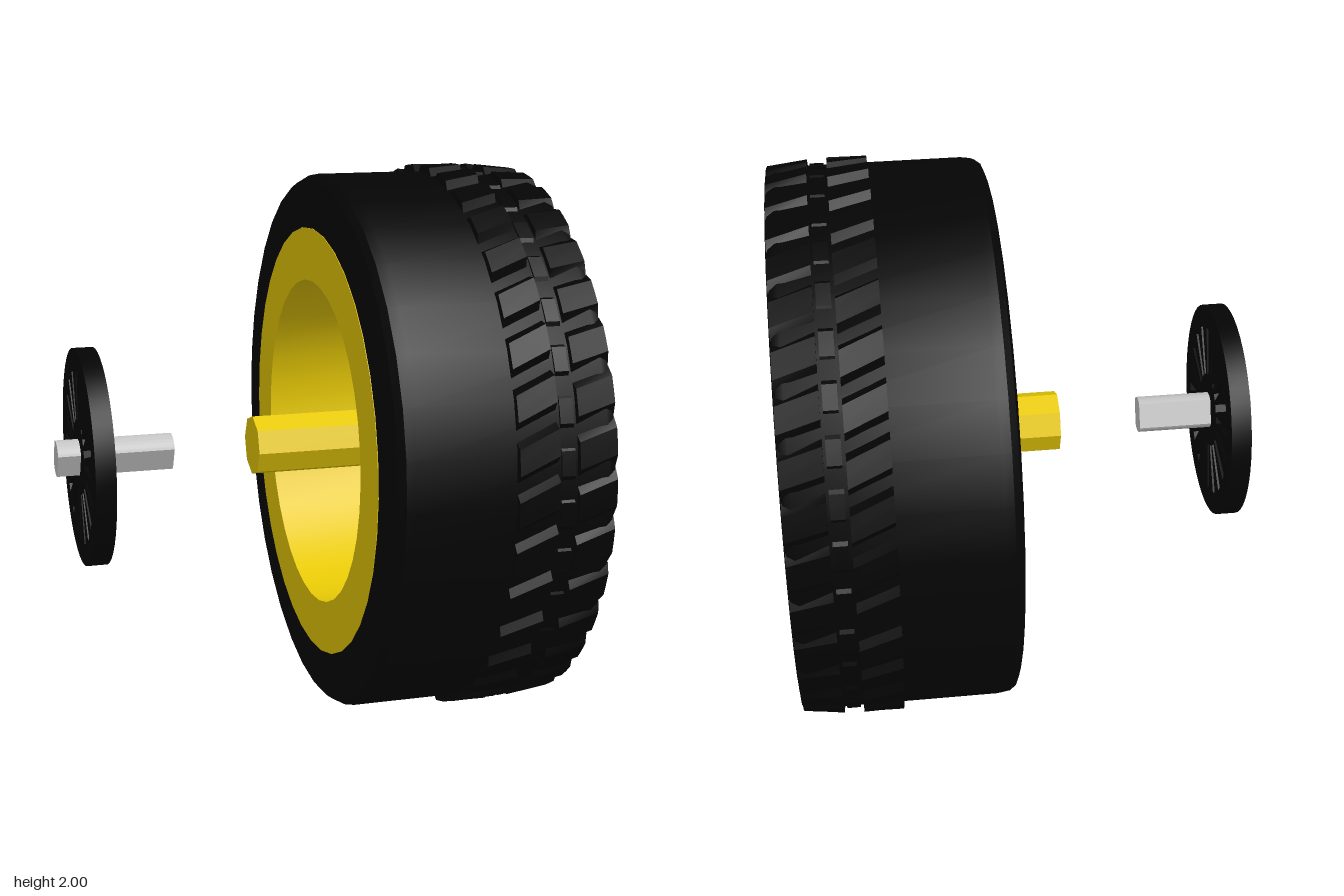
import * as THREE from 'three';
import { mergeGeometries, toCreasedNormals } from 'three/addons/utils/BufferGeometryUtils.js';

const mat = (name, color) => {
  const m = new THREE.MeshStandardMaterial({ color });
  m.name = name;
  return m;
};

export function createModel() {
  const rubber = mat('black rubber', 0x040404);
  const plastic = mat('yellow plastic', 0xe8ca06);
  const metal = mat('grey metal', 0xc4c4c4);

  const root = new THREE.Group();
  root.name = 'wheelAndEncoder';
  const wheel = new THREE.Group();
  wheel.name = 'wheel';
  const encoder = new THREE.Group();
  encoder.name = 'encoder';
  root.add(wheel, encoder);
  wheel.position.y = encoder.position.y = 1; // every part turns about this axle line

  const add = (parent, name, geometry, material) => {
    const mesh = new THREE.Mesh(geometry, material);
    mesh.name = name;
    parent.add(mesh);
    return mesh;
  };

  // Profile of [radius, x] pairs turned about the x axis
  const turned = (profile, segments, start = 0) => {
    const pts = profile.map(([r, x]) => new THREE.Vector2(r, x));
    const g = new THREE.LatheGeometry(pts, segments, start);
    g.rotateZ(-Math.PI / 2);
    return toCreasedNormals(g, 0.42);
  };

  // Flat shape pushed along x from x0 to x1
  const plate = (shape, x0, x1, curveSegments = 12) => {
    const g = new THREE.ExtrudeGeometry(shape, { depth: x1 - x0, bevelEnabled: false, curveSegments });
    g.rotateY(Math.PI / 2);
    g.translate(x0, 0, 0);
    return g;
  };
  const polar = (r, a) => new THREE.Vector2(r * Math.cos(a), r * Math.sin(a));

  // Tyre carcass
  add(wheel, 'tyre', turned([
    [0.785, 0.092], [0.925, 0.092], [0.955, 0.102], [0.972, 0.125], [0.977, 0.16],
    [0.977, 0.82], [0.968, 0.845], [0.955, 0.853], [0.785, 0.853], [0.785, 0.092],
  ], 36), rubber);

  // Tread block: a box bent round the tyre, skewed along it, with sloping ends
  const treadBlock = (angle, x0, x1, top0, top1, arc, skew) => {
    const g = new THREE.BoxGeometry(1, 1, 1, 1, 1, 2);
    const p = g.attributes.position;
    for (let i = 0; i < p.count; i++) {
      const u = p.getX(i) + 0.5;
      const upper = p.getY(i) > 0;
      const r = upper ? top0 + (top1 - top0) * u : 0.96;
      const t = angle + p.getZ(i) * arc * (upper ? 0.65 : 1.2) + (u - 0.5) * skew;
      p.setXYZ(i, x0 + (x1 - x0) * u, r * Math.cos(t), r * Math.sin(t));
    }
    g.computeVertexNormals();
    return g;
  };
  const blocks = 36;
  const pitch = (Math.PI * 2) / blocks;
  const tread = (name, offset, ...args) => {
    const list = [];
    for (let i = 0; i < blocks; i++) list.push(treadBlock((i + offset) * pitch, ...args));
    add(wheel, name, mergeGeometries(list), rubber);
  };
  tread('innerTread', 0, 0.5, 0.64, 1.0, 1.0, 0.135, -0.06);
  tread('middleTread', 0.25, 0.652, 0.7, 0.982, 0.982, 0.13, 0);
  tread('shoulderTread', 0, 0.71, 0.85, 0.997, 0.98, 0.14, -0.04);

  // Rim: barrel, spoke flange and flared front lip
  add(wheel, 'rim', turned([
    [0.595, 0.09], [0.785, 0.09], [0.785, 0.855], [0.765, 0.855], [0.757, 0.83],
    [0.737, 0.81], [0.722, 0.76], [0.702, 0.72], [0.7, 0.53], [0.6, 0.53], [0.595, 0.09],
  ], 36), plastic);

  // Centre plate and five tapering spokes that deepen towards the rim
  const plateBack = 0.6;
  const tipBack = 0.46;
  const centre = [];
  for (let i = 0; i < 5; i++) {
    const a = Math.PI / 2 + (i * Math.PI * 2) / 5;
    const rootA = polar(0.394, a - 0.317);
    const rootB = polar(0.394, a + 0.317);
    centre.push(rootA, rootB);
    const spoke = plate(new THREE.Shape([rootA, polar(0.7, a - 0.082), polar(0.7, a + 0.082), rootB]), plateBack, 0.7);
    const p = spoke.attributes.position;
    for (let k = 0; k < p.count; k++) {
      const atTip = Math.hypot(p.getY(k), p.getZ(k)) > 0.5;
      if (atTip && p.getX(k) < 0.65) p.setX(k, tipBack);
    }
    spoke.computeVertexNormals();
    add(wheel, 'spoke', spoke, plastic);
  }
  add(wheel, 'centrePlate', plate(new THREE.Shape(centre), plateBack, 0.7), plastic);

  // Raised centre, octagonal cap and its bolts
  add(wheel, 'hubDome', turned([[0.365, 0.699], [0.28, 0.713], [0.19, 0.72], [0, 0.72]], 32), plastic);
  add(wheel, 'hubCap', turned([
    [0.212, 0.7], [0.205, 0.735], [0.165, 0.745], [0.155, 0.765], [0.142, 0.765], [0.135, 0.75], [0, 0.75],
  ], 8, Math.PI / 8), plastic);
  for (let i = 0; i < 4; i++) {
    const g = new THREE.CylinderGeometry(0.02, 0.02, 0.05, 10);
    g.rotateZ(-Math.PI / 2);
    const bolt = add(wheel, 'hubBolt', g, plastic);
    const p = polar(0.198, Math.PI / 4 + (i * Math.PI) / 2);
    bolt.position.set(0.73, p.y, p.x);
  }

  // Octagonal sleeve reaching inwards to the axle
  add(wheel, 'hubSleeve', turned([[0, -0.137], [0.11, -0.137], [0.11, 0.61]], 8, 0.06), plastic);

  // Slotted encoder disc
  const disc = new THREE.Shape();
  disc.absarc(0, 0, 0.39, 0, Math.PI * 2);
  for (let i = 0; i < 20; i++) {
    const a = (i * Math.PI) / 10;
    disc.holes.push(new THREE.Path([
      polar(0.135, a - 0.1), polar(0.135, a + 0.1), polar(0.31, a + 0.055), polar(0.31, a - 0.055),
    ]));
  }
  add(encoder, 'encoderDisc', toCreasedNormals(plate(disc, -0.775, -0.704, 24), 0.42), rubber);

  // Axle stub with two flats, one facing forward and slightly down
  const section = new THREE.Shape();
  const flat = 0.8;
  section.absarc(0, 0, 0.065, -flat, flat);
  section.absarc(0, 0, 0.065, Math.PI - flat, Math.PI + flat);
  const axle = add(encoder, 'axle', toCreasedNormals(plate(section, -0.856, -0.438, 8), 0.42), metal);
  axle.rotation.x = -1.12;

  return root;
}
